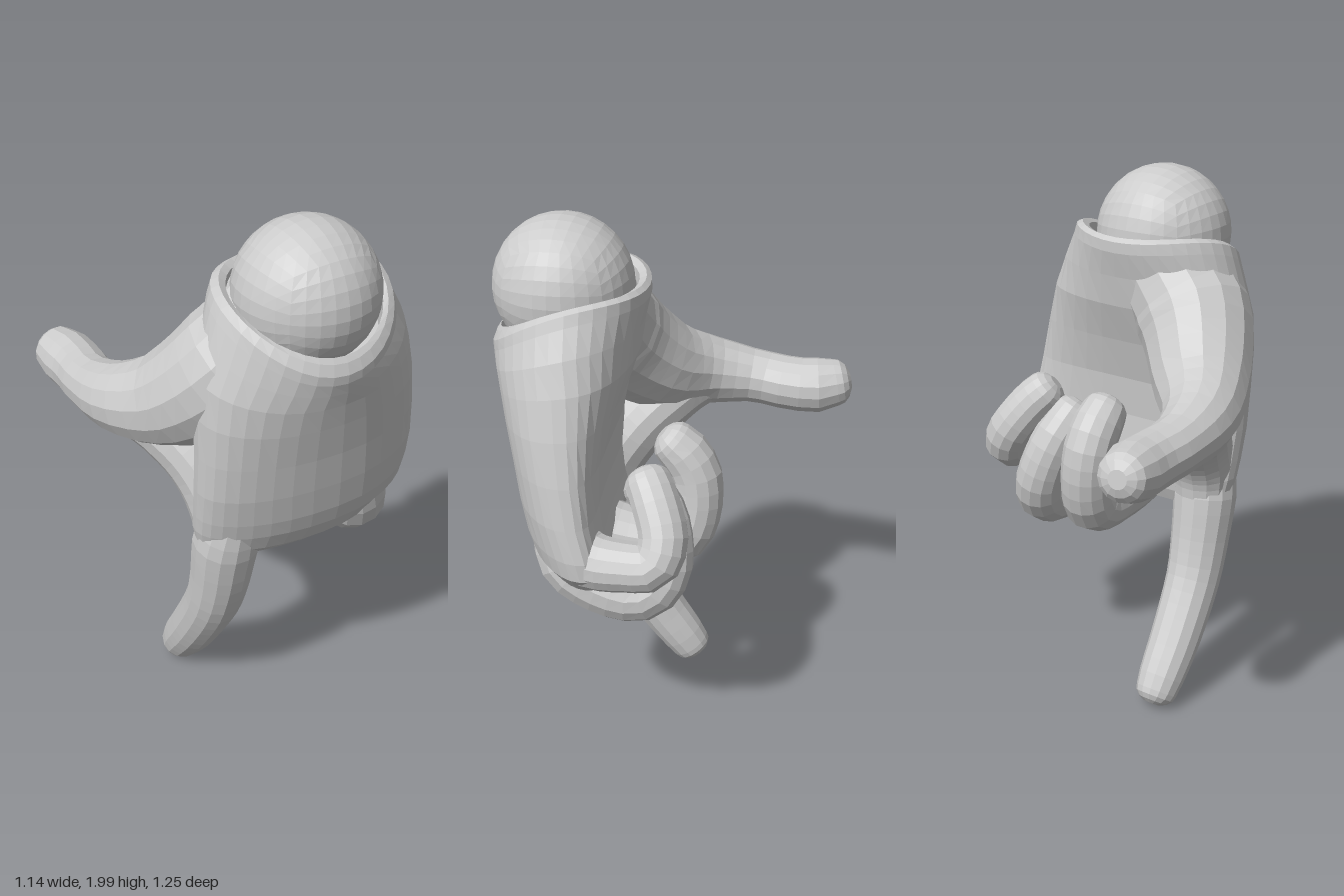
import * as THREE from 'three';

const material = new THREE.MeshStandardMaterial({ color: 0xcccccc, flatShading: true });

function addMesh(parent, geometry, name) {
  const mesh = new THREE.Mesh(geometry, material);
  mesh.name = name;
  parent.add(mesh);
  return mesh;
}

// Skin a list of rings (equal point counts) and close both ends
function loft(rings) {
  const n = rings[0].length;
  const points = rings.flat();
  const index = [];
  for (let r = 0; r < rings.length - 1; r++) {
    for (let i = 0; i < n; i++) {
      const a = r * n + i, b = r * n + (i + 1) % n;
      index.push(a, b, a + n, b, b + n, a + n);
    }
  }
  [0, rings.length - 1].forEach((r, end) => {
    const centre = new THREE.Vector3();
    rings[r].forEach((p) => centre.addScaledVector(p, 1 / n));
    const c = points.push(centre) - 1;
    for (let i = 0; i < n; i++) {
      const a = r * n + i, b = r * n + (i + 1) % n;
      if (end) index.push(c, a, b);
      else index.push(c, b, a);
    }
  });
  const geometry = new THREE.BufferGeometry().setFromPoints(points);
  geometry.setIndex(index);
  geometry.computeVertexNormals();
  return geometry;
}

// Tapered finger along stations [x, y, z, radius], rounded at both ends
function finger(stations, steps = 18, sides = 14) {
  const curve = new THREE.CatmullRomCurve3(
    stations.map(([x, y, z]) => new THREE.Vector3(x, y, z)), false, 'centripetal');
  const { tangents, normals, binormals } = curve.computeFrenetFrames(steps);
  const rings = [];
  const addRing = (i, radius, shift = 0) => {
    const centre = curve.getPointAt(i / steps).addScaledVector(tangents[i], shift);
    const ring = [];
    for (let k = 0; k < sides; k++) {
      const a = (k / sides) * Math.PI * 2;
      ring.push(centre.clone()
        .addScaledVector(normals[i], radius * Math.cos(a))
        .addScaledVector(binormals[i], radius * Math.sin(a)));
    }
    rings.push(ring);
  };
  const r0 = stations[0][3], r1 = stations.at(-1)[3];
  for (const a of [1.2, 0.8, 0.4]) addRing(0, r0 * Math.cos(a), -0.7 * r0 * Math.sin(a));
  for (let i = 0; i <= steps; i++) {
    const s = curve.getUtoTmapping(i / steps) * (stations.length - 1);
    const k = Math.min(Math.floor(s), stations.length - 2);
    addRing(i, THREE.MathUtils.lerp(stations[k][3], stations[k + 1][3], s - k));
  }
  for (const a of [0.4, 0.8, 1.2]) addRing(steps, r1 * Math.cos(a), 0.7 * r1 * Math.sin(a));
  return loft(rings);
}

// Sections: y, left x, right x, back z, front z, sideways bend, front droop, squareness
function shell(sections) {
  const power = (v, e) => Math.sign(v) * Math.abs(v) ** e;
  return loft(sections.map(([y, x0, x1, z0, z1, bend, droop, e]) => {
    const ring = [];
    for (let i = 0; i < 36; i++) {
      const a = (i / 36) * Math.PI * 2;
      const u = power(Math.cos(a), e);
      // The little-finger side curls back more than the index side
      const curl = bend * u * u * (u < 0 ? 0.35 : 1);
      const z = (z0 + z1) / 2 + power(Math.sin(a), e) * (z1 - z0) / 2 - curl;
      ring.push(new THREE.Vector3(
        (x0 + x1) / 2 + u * (x1 - x0) / 2, y - droop * (z - 0.17) ** 2, z));
    }
    return ring;
  }));
}

export function createModel() {
  const hand = new THREE.Group();
  hand.name = 'glovedHand';

  // Wrist ball: a subdivided cube pushed out to a sphere
  const ball = new THREE.BoxGeometry(1, 1, 1, 8, 8, 8);
  const position = ball.attributes.position;
  const v = new THREE.Vector3();
  for (let i = 0; i < position.count; i++) {
    v.fromBufferAttribute(position, i).multiplyScalar(Math.PI / 2);
    v.set(Math.tan(v.x), Math.tan(v.y), Math.tan(v.z)).setLength(0.25);
    position.setXYZ(i, v.x, v.y, v.z);
  }
  ball.computeVertexNormals();
  addMesh(hand, ball, 'wristBall').position.set(0.025, 1.75, 0.375);

  // Cuff: from the inside of the opening, over the lip, down the outside
  addMesh(hand, shell([
    [1.67, -0.22, 0.29, 0.12, 0.59, 0, 1.0, 1],
    [1.775, -0.23, 0.3, 0.11, 0.595, 0, 0.92, 1],
    [1.79, -0.25, 0.32, 0.085, 0.61, 0, 1.03, 1],
    [1.78, -0.28, 0.345, 0.068, 0.625, 0, 1.1, 1],
    [1.74, -0.295, 0.36, 0.068, 0.622, 0, 1.08, 1],
    [1.64, -0.325, 0.41, 0.09, 0.61, 0.01, 0.85, 0.97],
  ]), 'cuff');

  addMesh(hand, shell([
    [1.64, -0.325, 0.41, 0.09, 0.61, 0.01, 0.85, 0.97],
    [1.52, -0.36, 0.45, 0.11, 0.595, 0.03, 0.55, 0.92],
    [1.37, -0.37, 0.487, 0.16, 0.575, 0.055, 0.25, 0.87],
    [1.21, -0.37, 0.52, 0.2, 0.55, 0.08, 0.1, 0.84],
    [1.06, -0.37, 0.545, 0.21, 0.53, 0.1, 0.03, 0.83],
    [0.94, -0.365, 0.562, 0.2, 0.51, 0.12, 0, 0.85],
    [0.87, -0.36, 0.56, 0.19, 0.49, 0.12, 0, 0.87],
    [0.8, -0.345, 0.5, 0.2, 0.455, 0.11, 0, 0.88],
    [0.75, -0.3, 0.43, 0.22, 0.4, 0.08, 0, 0.88],
  ]), 'palm');

  // Fingers, from the base inside the palm to the tip
  const fingers = {
    thumb: [[-0.05, 1.63, 0.3, 0.2], [-0.19, 1.48, 0.26, 0.215], [-0.33, 1.31, 0.1, 0.178],
      [-0.43, 1.25, -0.06, 0.135], [-0.465, 1.22, -0.25, 0.102], [-0.45, 1.205, -0.4, 0.104],
      [-0.455, 1.205, -0.5, 0.106], [-0.468, 1.215, -0.558, 0.092]],
    thumbWeb: [[-0.235, 0.7, 0.28, 0.1], [-0.235, 0.9, 0.28, 0.12], [-0.26, 1.05, 0.2, 0.125],
      [-0.32, 1.16, 0.09, 0.125], [-0.4, 1.22, -0.03, 0.11], [-0.45, 1.22, -0.15, 0.09]],
    indexFinger: [[-0.21, 1.0, 0.34, 0.09], [-0.235, 0.8, 0.3, 0.123], [-0.24, 0.6, 0.26, 0.112],
      [-0.245, 0.46, 0.215, 0.105], [-0.25, 0.24, 0.085, 0.097], [-0.25, 0.13, 0.005, 0.09],
      [-0.25, 0.07, -0.038, 0.08]],
    middleFinger: [[0.05, 0.95, 0.36, 0.11], [0.06, 0.82, 0.3, 0.125], [0.06, 0.765, 0.1, 0.11],
      [0.05, 0.78, -0.04, 0.105], [0.035, 0.88, -0.095, 0.098], [0.02, 1.04, -0.095, 0.096],
      [0.015, 1.13, -0.04, 0.092], [0.015, 1.155, -0.01, 0.085]],
    ringFinger: [[0.26, 0.94, 0.36, 0.11], [0.3, 0.79, 0.305, 0.13], [0.335, 0.705, 0.13, 0.112],
      [0.335, 0.71, 0.03, 0.102], [0.31, 0.8, -0.035, 0.096], [0.25, 0.98, -0.015, 0.09],
      [0.215, 1.08, 0.055, 0.085]],
    littleFinger: [[0.38, 1.03, 0.33, 0.09], [0.45, 0.91, 0.23, 0.105], [0.475, 0.9, 0.07, 0.09],
      [0.475, 0.915, -0.02, 0.088], [0.44, 0.99, -0.05, 0.088], [0.36, 1.11, -0.005, 0.087],
      [0.32, 1.155, 0.025, 0.083]],
  };
  for (const [name, stations] of Object.entries(fingers)) addMesh(hand, finger(stations), name);

  return hand;
}
